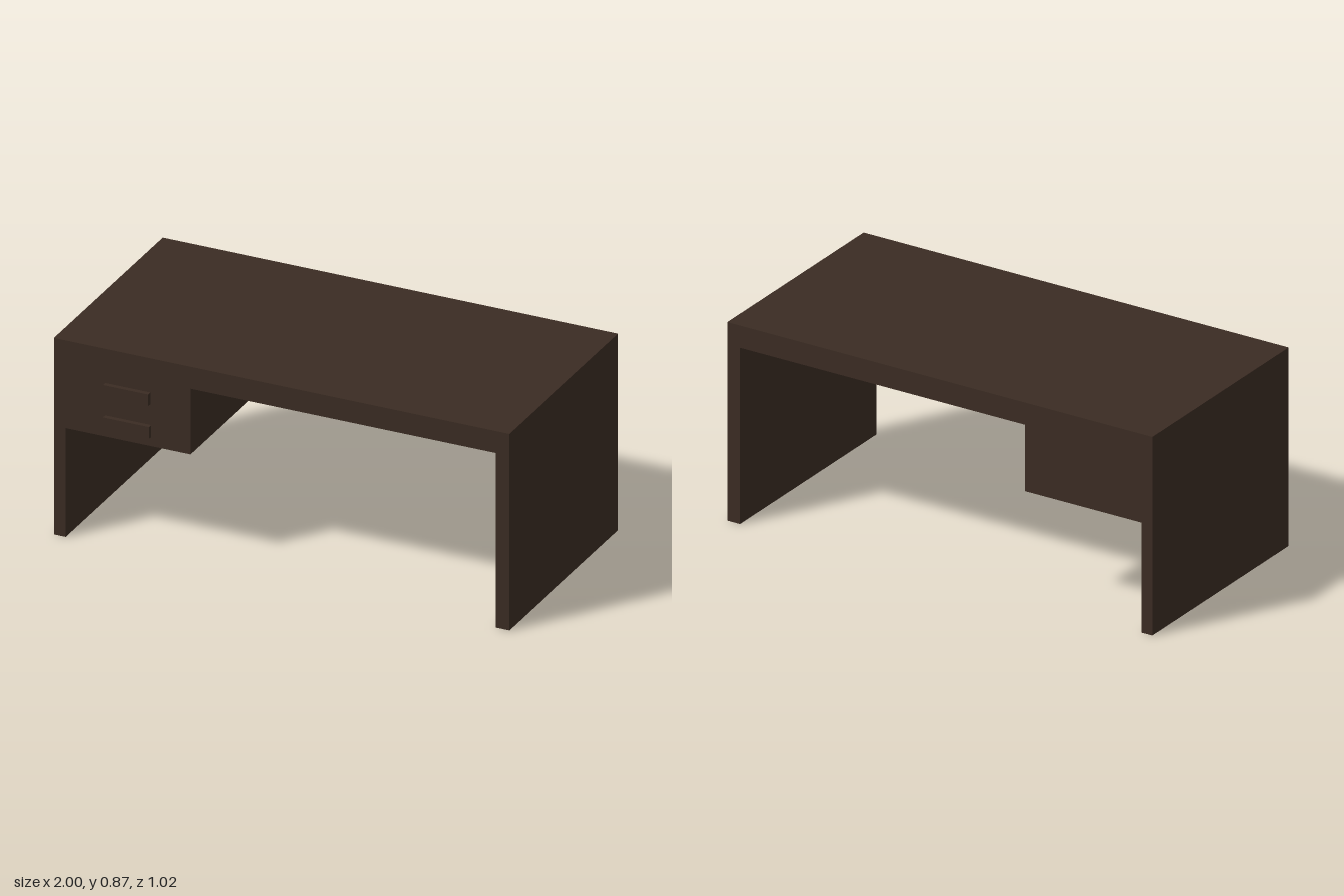
import * as THREE from 'three';

export function createModel() {
  const desk = new THREE.Group();
  desk.name = 'desk';
  const wood = new THREE.MeshStandardMaterial({ color: 0x3b2c23 });
  wood.name = 'dark wood';

  const back = -0.51, front = 0.49;

  // Continuous body: side panels, top slab and drawer cabinet share one section
  const section = new THREE.Shape([
    [-1, 0], [-0.948, 0], [-0.948, 0.48], [-0.4, 0.48], [-0.4, 0.77],
    [0.94, 0.77], [0.94, 0], [1, 0], [1, 0.867], [-1, 0.867],
  ].map(([x, y]) => new THREE.Vector2(x, y)));
  const bodyGeometry = new THREE.ExtrudeGeometry(section, { depth: front - back, bevelEnabled: false });
  bodyGeometry.translate(0, 0, back);
  const body = new THREE.Mesh(bodyGeometry, wood);
  body.name = 'deskBody';
  desk.add(body);

  // Block handles on the two drawers
  const handles = [
    { name: 'upperDrawerHandle', x: -0.675, y: 0.69, width: 0.198 },
    { name: 'lowerDrawerHandle', x: -0.673, y: 0.547, width: 0.202 },
  ];
  for (const { name, x, y, width } of handles) {
    const handle = new THREE.Mesh(new THREE.BoxGeometry(width, 0.052, 0.02), wood);
    handle.name = name;
    handle.position.set(x, y, front + 0.01);
    desk.add(handle);
  }
  return desk;
}
